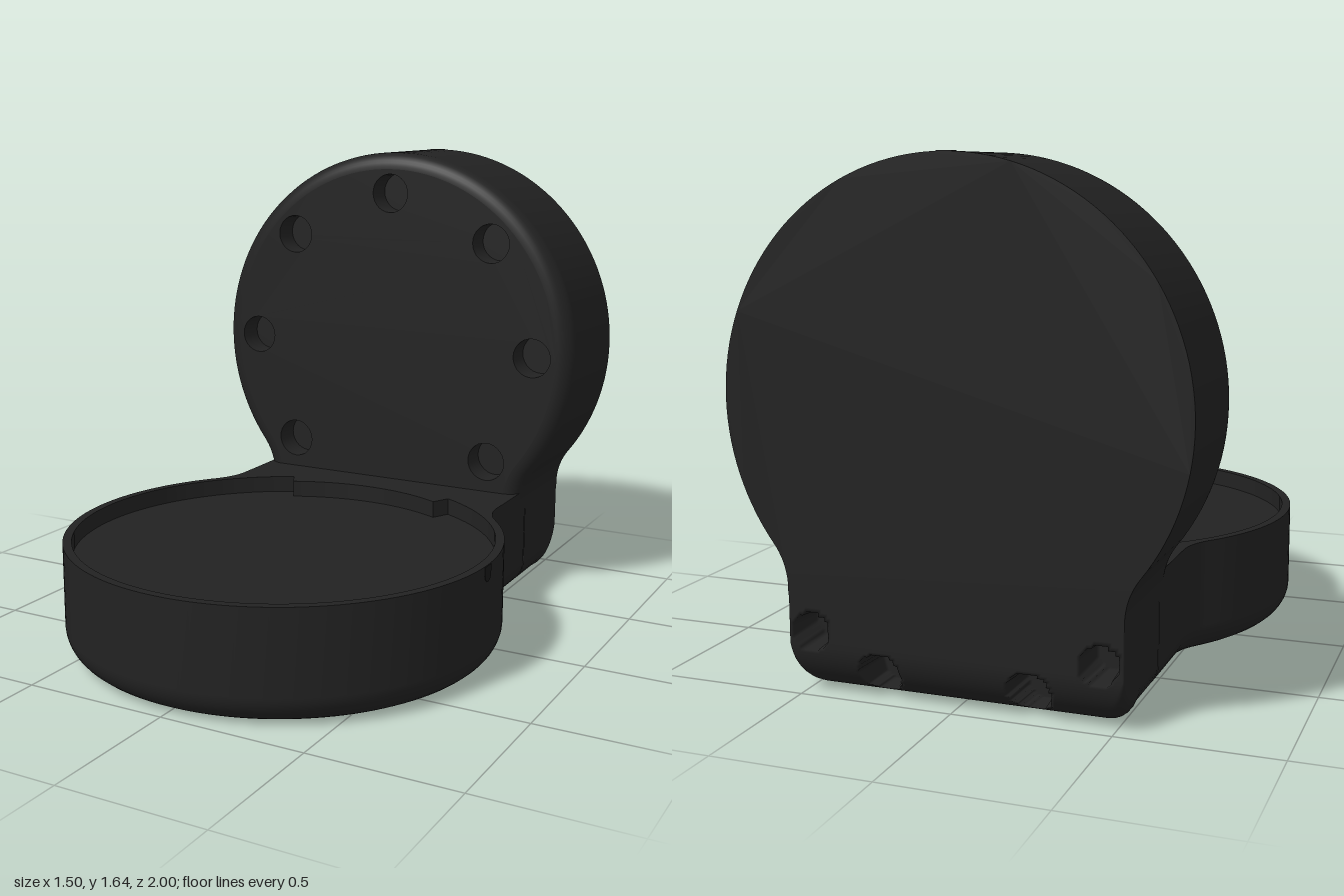
import * as THREE from 'three';

const shell = new THREE.MeshStandardMaterial({ color: 0x222222, side: THREE.DoubleSide });
shell.name = 'charcoal shell';
const slotDark = new THREE.MeshStandardMaterial({ color: 0x191919 });
slotDark.name = 'dark slot';

const NECK = 0.535, BLEND = 0.22;

function add(parent, name, geometry, material = shell) {
  const mesh = new THREE.Mesh(geometry, material);
  mesh.name = name;
  parent.add(mesh);
  return mesh;
}

// Skin through equal-length rows of [x, y, z]
function loft(rows) {
  const n = rows[0].length, index = [];
  for (let j = 0; j < rows.length - 1; j++)
    for (let i = 0; i < n - 1; i++) {
      const a = j * n + i, b = a + n;
      index.push(a, b, a + 1, b, b + 1, a + 1);
    }
  const g = new THREE.BufferGeometry();
  g.setAttribute('position', new THREE.Float32BufferAttribute(rows.flat(2), 3));
  g.setIndex(index);
  g.computeVertexNormals();
  return g;
}

function arc(cx, cy, r, a0, a1, n) {
  return Array.from({ length: n + 1 }, (_, i) => {
    const a = a0 + (a1 - a0) * i / n;
    return new THREE.Vector2(cx + r * Math.cos(a), cy + r * Math.sin(a));
  });
}

// Disc that blends into a straight neck, offset inward by inset
function outline(r, len, inset) {
  const fx = NECK + BLEND, d = Math.sqrt((r + BLEND) ** 2 - fx ** 2);
  const start = Math.atan2(-d, fx);
  const right = [new THREE.Vector2(NECK - inset, -len),
    ...arc(fx, -d, BLEND + inset, Math.PI, Math.PI + start, 10)];
  const left = right.map(p => new THREE.Vector2(-p.x, p.y)).reverse();
  const round = arc(0, 0, r - inset, start, Math.PI - start, 96).slice(1, -1);
  return [...right, ...round, ...left];
}

// Flat face at height y, facing up or down
function plate(points, holes, y, up) {
  const shape = new THREE.Shape(points);
  shape.holes = holes.map(h => new THREE.Path(h));
  const g = new THREE.ShapeGeometry(shape).rotateX(Math.PI / 2).translate(0, y, 0);
  if (up) g.index.array.reverse();
  g.computeVertexNormals();
  return g;
}

// Disc body: rounded lower edge, round pits in the lower face
function discBody(name, { r, len, fillet, height, pitAngles, pitDepth }) {
  const group = new THREE.Group();
  group.name = name;
  const rows = [];
  for (let k = 0; k <= 8; k++) {
    const a = k / 8 * Math.PI / 2;
    const y = fillet * (1 - Math.cos(a));
    rows.push(outline(r, len, fillet * (1 - Math.sin(a))).map(p => [p.x, y, p.y]));
  }
  rows.push(outline(r, len, 0).map(p => [p.x, height, p.y]));
  add(group, name + 'Wall', loft(rows));

  const centres = pitAngles.map(a => [0.58 * Math.cos(a), 0.58 * Math.sin(a)]);
  const pits = centres.map(([x, z]) => arc(x, z, 0.072, 0, Math.PI * 2, 28).slice(0, -1));
  add(group, name + 'Face', plate(outline(r, len, fillet), pits, 0, false));
  for (const [x, z] of centres) {
    const ring = arc(x, z, 0.072, Math.PI * 2, 0, 28);
    add(group, 'pitWall', loft([0, pitDepth].map(y => ring.map(p => [p.x, y, p.y]))));
    add(group, 'pitFloor', plate(ring.slice(0, -1), [], pitDepth, false));
  }
  return group;
}

// Rear hinge block with rounded back edge and sunken screw holes
function hingeBlock() {
  const R = 0.16, profile = [];
  for (let k = 0; k <= 8; k++) profile.push([-0.65 - 0.19 * k / 8, 0, 0]);
  for (let k = 1; k <= 28; k++) {
    const a = k / 28 * Math.PI / 2;
    profile.push([-0.84 - R * Math.sin(a), R - R * Math.cos(a), a]);
  }
  for (let k = 1; k <= 14; k++) profile.push([-1, R + 0.18 * k / 14, Math.PI / 2]);

  const screws = [[0.46, 0.2, 0.055], [0.24, 0.085, 0.065]];
  const rows = profile.map(([z, y, a]) => {
    const f = 0.1 - 0.095 * a / (Math.PI / 2), half = [];
    for (let k = 0; k <= 6; k++) {
      const t = k / 6 * Math.PI / 2, depth = f * (1 - Math.sin(t));
      half.push([-(NECK - f) - f * Math.cos(t), y + depth * Math.cos(a), z + depth * Math.sin(a)]);
    }
    const flat = [];
    for (let k = 1; k < 100; k++) flat.push([(NECK - f) * (k / 50 - 1), y, z]);
    const row = [[-NECK, 0.385, -0.65], ...half, ...flat,
      ...half.map(([x, py, pz]) => [-x, py, pz]).reverse(), [NECK, 0.385, -0.65]];
    for (const p of row)
      for (const [sx, sy, sr] of screws)
        if (p[2] < -0.84 && Math.hypot(Math.abs(p[0]) - sx, p[1] - sy) < sr) {
          p[2] = Math.max(p[2], -0.88 + (p[1] < 0.1 ? 0.04 : 0));
        }
    return row;
  });
  return loft(rows);
}

// Small round-ended alignment mark lying in a local xy plane
function slotMark() {
  const shape = new THREE.Shape([new THREE.Vector2(-0.024, 0.03),
    ...arc(0, 0, 0.024, Math.PI, Math.PI * 2, 12), new THREE.Vector2(0.024, 0.03)]);
  return new THREE.ExtrudeGeometry(shape, { depth: 0.004, bevelEnabled: false });
}

export function createModel() {
  const model = new THREE.Group();
  model.name = 'hingedRoundCase';
  const eighth = Math.PI / 4, H = 0.385, len = 0.895;

  // Lower tray
  const tray = discBody('tray', {
    r: 0.75, len, fillet: 0.1, height: H, pitDepth: 0.06,
    pitAngles: Array.from({ length: 8 }, (_, i) => (i + 0.5) * eighth),
  });
  tray.position.z = 0.25;
  model.add(tray);

  // Shallow recess with a raised tab toward the hinge
  const b = 0.475, back = -Math.PI / 2;
  const recess = [...arc(0, 0, 0.72, back + b, back + Math.PI * 2 - b, 96),
    ...arc(0, 0, 0.65, back - b, back + b, 20)];
  add(tray, 'trayRim', plate(outline(0.75, len, 0), [recess], H, true));
  add(tray, 'recessFloor', plate(recess, [], H - 0.06, true));
  const loop = [...recess, recess[0]].reverse();
  const recessWall = loft([H - 0.06, H].map(y => loop.map(p => [p.x, y, p.y]))).toNonIndexed();
  recessWall.computeVertexNormals();
  add(tray, 'recessWall', recessWall);
  const sideMark = add(tray, 'sideSlot', slotMark(), slotDark);
  sideMark.rotation.y = Math.PI / 2;
  sideMark.position.set(0.748, H - 0.032, 0);

  // Upright lid
  const lid = discBody('lid', {
    r: 0.73, len: 0.6, fillet: 0.06, height: 0.45, pitDepth: 0.1,
    pitAngles: Array.from({ length: 7 }, (_, i) => (i - 1) * eighth),
  });
  add(lid, 'lidBack', plate(outline(0.73, 0.6, 0), [], 0.45, true));
  const topMark = add(lid, 'topSlot', slotMark(), slotDark);
  topMark.position.set(0, 0.418, 0.728);
  lid.rotation.x = -Math.PI / 2;
  lid.position.set(0, 0.91, -0.55);
  model.add(lid);

  // Hinge
  add(model, 'hingeBlock', hingeBlock());
  const core = add(model, 'hingeCore', new THREE.BoxGeometry(1.04, 0.26, 0.1));
  core.position.set(0, 0.24, -0.65);
  return model;
}
